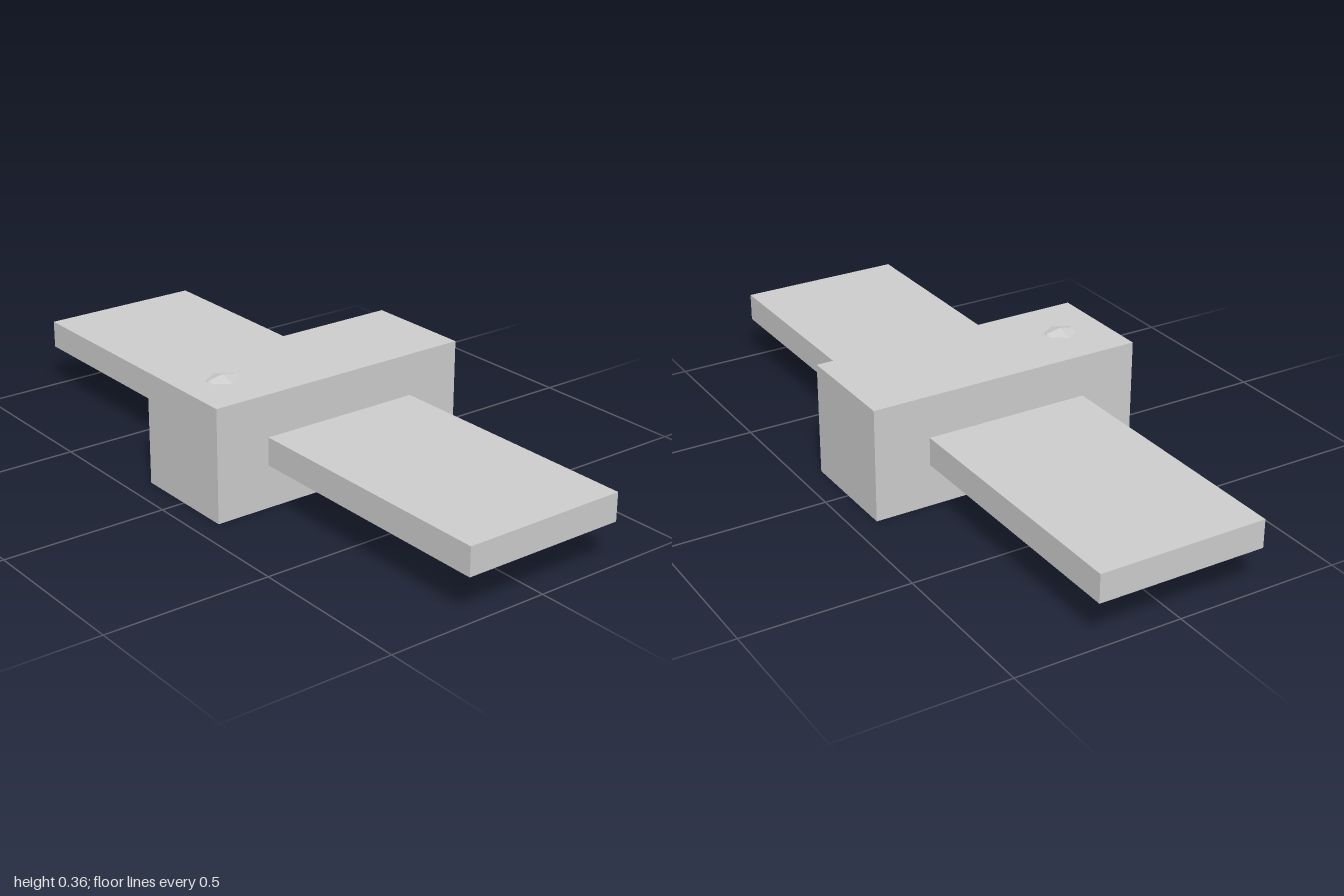
import * as THREE from 'three';
import { ConvexGeometry } from 'three/addons/geometries/ConvexGeometry.js';

export function createModel() {
  const model = new THREE.Group();
  model.name = 'blockGlider';

  const grey = new THREE.MeshStandardMaterial({ color: 0xcccccc });
  grey.name = 'light grey';

  function add(name, geometry, x, y, z) {
    const mesh = new THREE.Mesh(geometry, grey);
    mesh.name = name;
    mesh.position.set(x, y, z);
    model.add(mesh);
  }

  // Central body block
  const top = 0.343;
  add('body', new THREE.BoxGeometry(0.34, top, 0.854), 0, top / 2, 0);

  // Flat wing slabs, mirrored, ending at the body sides
  for (const side of [1, -1]) {
    add(side > 0 ? 'leftWing' : 'rightWing',
      new THREE.BoxGeometry(0.83, 0.085, 0.51), side * 0.585, 0.1725, 0);
  }

  // Shallow faceted canopy: ridge sections [z, half width, height], sunk slightly into the body
  const points = [];
  for (const [z, w, h] of [[-0.052, 0, 0], [-0.046, 0.018, 0.0055], [0, 0.047, 0.014],
    [0.046, 0.018, 0.0055], [0.052, 0, 0]]) {
    points.push(new THREE.Vector3(0, h, z), new THREE.Vector3(0, -0.02, z * 0.8));
    if (w) points.push(new THREE.Vector3(w, 0, z), new THREE.Vector3(-w, 0, z));
  }
  add('canopy', new ConvexGeometry(points), 0, top, 0.287);

  return model;
}
